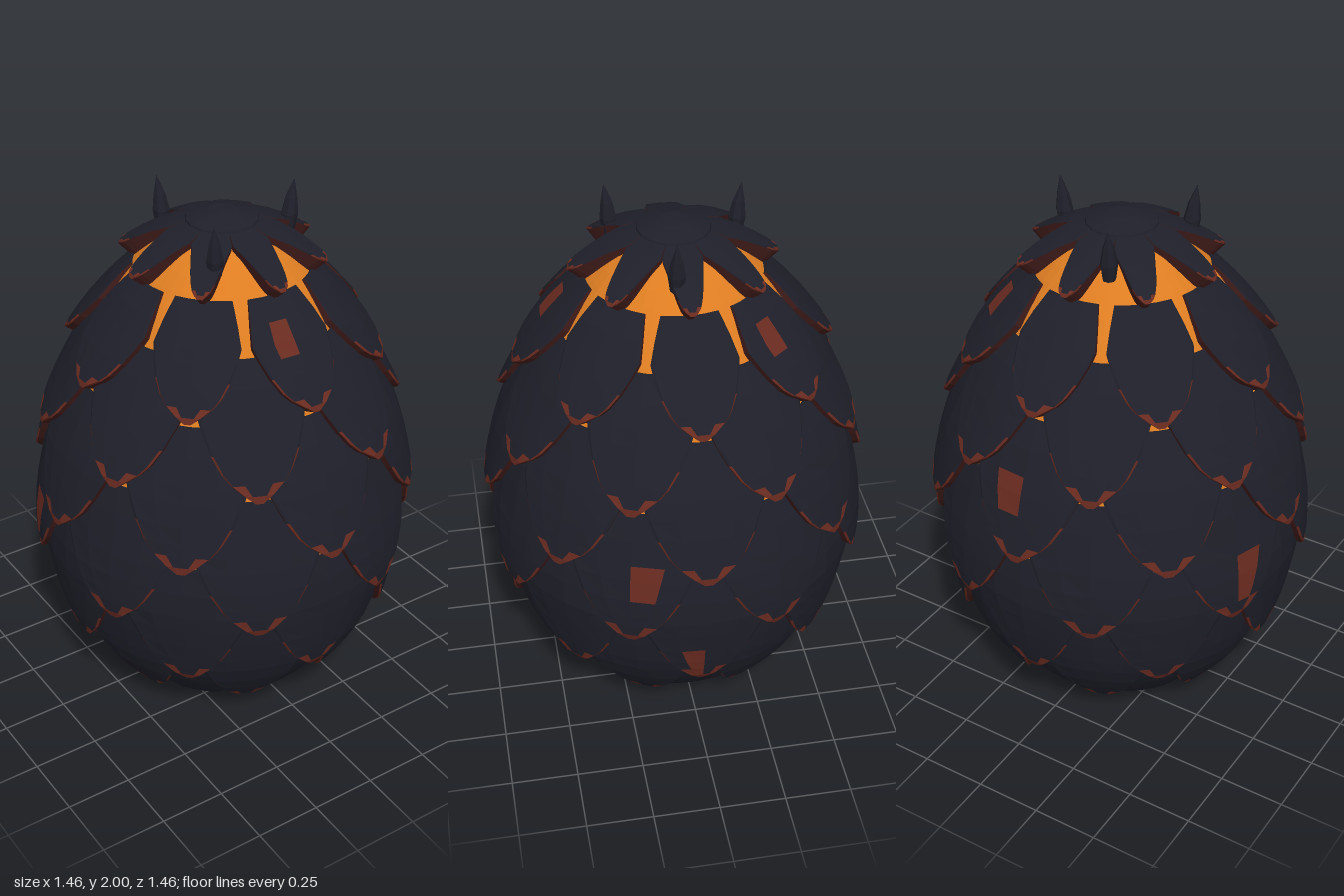
import * as THREE from 'three';

const mat = (name, color) => {
  const m = new THREE.MeshStandardMaterial({ color, flatShading: true, side: THREE.DoubleSide });
  m.name = name;
  return m;
};

// Egg outline as (height, radius), smoothed
const outline = new THREE.SplineCurve([
  [0, 0.27], [0.1, 0.4], [0.32, 0.57], [0.6, 0.66], [0.75, 0.677], [0.87, 0.672], [1.14, 0.63],
  [1.41, 0.53], [1.58, 0.44], [1.73, 0.33], [1.85, 0.2], [1.92, 0.05],
].map(([y, r]) => new THREE.Vector2(y, r))).getPoints(240);

function radiusAt(y) {
  let i = 1;
  while (i < outline.length - 1 && outline[i].x < y) i++;
  const a = outline[i - 1], b = outline[i];
  return a.y + (b.y - a.y) * (y - a.x) / (b.x - a.x);
}

// Point at a height and angle, raised from the egg along its normal
function onEgg(y, angle, lift) {
  const slope = (radiusAt(y + 0.02) - radiusAt(y - 0.02)) / 0.04;
  const k = lift / Math.hypot(1, slope);
  const r = radiusAt(y) + k;
  return [Math.sin(angle) * r, Math.max(0, y - slope * k), Math.cos(angle) * r];
}

// Half-width of a scale from its top edge (t = 0) to its tip (t = 1)
const SCALE = [[0, 0.79], [0.2, 0.86], [0.38, 0.89], [0.5, 0.79], [0.65, 0.65], [0.78, 0.5], [0.86, 0.37], [0.94, 0.19], [1, 0.05]];
const PETAL = [[0, 1], [0.2, 0.97], [0.4, 0.62], [0.6, 0.44], [0.75, 0.33], [0.87, 0.24], [0.94, 0.16], [1, 0.06]];
const COLS = [-1, -0.94, -0.5, 0, 0.5, 0.94, 1];

// Scales with a worn red patch: 'row-index' to [column, first step, last step]
const PATCHES = {
  '1-0': [2, 1, 2], '1-3': [2, 1, 2], '3-4': [2, 2, 3],
  '4-1': [3, 2, 3], '4-5': [3, 3, 5], '5-2': [2, 4, 6],
};

// One overlapping scale: dark face, red chevron bevel at the tip, dark red rim wall
function scaleGeometry(profile, yTop, yTip, angle, liftTop, liftTip, patch = [-1, 0, 0]) {
  const dark = [], red = [], rim = [];
  const point = (i, j, wall) => {
    const [t, w] = profile[i], u = COLS[j];
    const edge = Math.abs(u) === 1 || i === profile.length - 1;
    const lift = wall ? -0.006 : liftTop + (liftTip - liftTop) * t - (edge ? 0.008 * t : 0);
    return onEgg(yTop + (yTip - yTop) * t, angle + u * w * Math.PI / 8, lift);
  };
  const quad = (out, a, b, c, d) => out.push(...a, ...b, ...c, ...a, ...c, ...d);
  const rows = profile.length - 1, cols = COLS.length - 1;
  for (let i = 0; i < rows; i++) {
    const t = profile[i][0];
    for (let j = 0; j < cols; j++) {
      const fromSide = Math.min(j, cols - 1 - j);
      const bevel = t > [0.6, 0.85, 0.93][fromSide];
      const worn = j === patch[0] && i >= patch[1] && i <= patch[2];
      quad(bevel || worn ? red : dark, point(i, j), point(i + 1, j), point(i + 1, j + 1), point(i, j + 1));
    }
    quad(rim, point(i, 0), point(i, 0, true), point(i + 1, 0, true), point(i + 1, 0));
    quad(rim, point(i + 1, cols), point(i + 1, cols, true), point(i, cols, true), point(i, cols));
  }
  for (let j = 0; j < cols; j++) {
    quad(rim, point(rows, j), point(rows, j, true), point(rows, j + 1, true), point(rows, j + 1));
    quad(dark, point(0, j + 1), point(0, j + 1, true), point(0, j, true), point(0, j));
  }
  const g = new THREE.BufferGeometry();
  g.setAttribute('position', new THREE.Float32BufferAttribute([...dark, ...red, ...rim], 3));
  let start = 0;
  [dark, red, rim].forEach((part, i) => {
    g.addGroup(start, part.length / 3, i);
    start += part.length / 3;
  });
  g.computeVertexNormals();
  return g;
}

export function createModel() {
  const model = new THREE.Group();
  model.name = 'scaledEgg';
  const dark = mat('charcoalScale', 0x1e1f29);
  const red = mat('emberRed', 0x6a2b20);
  const rim = mat('scorchedRim', 0x401c1a);
  const glow = mat('moltenOrange', 0xdd7d22);
  const add = (name, geometry, material, parent = model) => {
    const m = new THREE.Mesh(geometry, material);
    m.name = name;
    parent.add(m);
    return m;
  };
  const v2 = ([x, y]) => new THREE.Vector2(x, y);

  // Glowing core
  const core = outline.filter((p, i) => i % 8 === 0).map((p) => new THREE.Vector2(p.y, p.x));
  add('core', new THREE.LatheGeometry(core, 48), glow);

  // Dark base and top cap
  const base = [[0, 0], [0.29, 0]];
  for (let y = 0.03; y < 0.2; y += 0.04) base.push([radiusAt(y) + 0.006, y]);
  add('base', new THREE.LatheGeometry(base.map(v2), 32), dark);
  add('topCap', new THREE.LatheGeometry([[0.14, 1.885], [0.13, 1.912], [0.05, 1.938], [0, 1.94]].map(v2), 16), dark);

  // Staggered rows of eight scales: top height, tip height, half-step, tip lift
  const rows = [
    [1.74, 1.385, 0, 0.068], [1.58, 1.13, 1, 0.062], [1.37, 0.862, 0, 0.064], [1.12, 0.595, 1, 0.06],
    [0.855, 0.33, 0, 0.06], [0.59, 0.115, 1, 0.055], [0.32, 0.015, 0, 0.04], [0.16, 0.005, 1, 0.03],
  ];
  rows.forEach(([top, tip, half, lift], n) => {
    const row = new THREE.Group();
    row.name = `scaleRow${n + 1}`;
    const tipColour = n > 5 ? dark : red;
    for (let k = 0; k < 8; k++) {
      const angle = (k + half / 2) * Math.PI / 4;
      const g = scaleGeometry(SCALE, top, tip, angle, 0.01, lift, PATCHES[`${n + 1}-${k}`]);
      add('scale', g, [dark, tipColour, rim], row);
    }
    model.add(row);
  });

  // Crown of narrow petals
  const crown = new THREE.Group();
  crown.name = 'crownPetals';
  for (let k = 0; k < 8; k++) {
    add('petal', scaleGeometry(PETAL, 1.895, 1.73, k * Math.PI / 4, 0.015, 0.075), [dark, red, rim], crown);
  }
  model.add(crown);

  // Three small curved horns
  for (const [x, z] of [[-0.1, -0.245], [0.265, 0.035], [-0.165, 0.205]]) {
    const g = new THREE.LatheGeometry([[0, 0], [0.024, 0.01], [0.032, 0.07], [0.022, 0.13], [0, 0.2]].map(v2), 7);
    const p = g.attributes.position, r = Math.hypot(x, z);
    for (let i = 0; i < p.count; i++) {
      const bend = 0.5 * p.getY(i) ** 2;
      p.setX(i, p.getX(i) + bend * x / r);
      p.setZ(i, p.getZ(i) + bend * z / r);
    }
    g.computeVertexNormals();
    add('horn', g, dark).position.set(x, 1.8, z);
  }
  return model;
}
